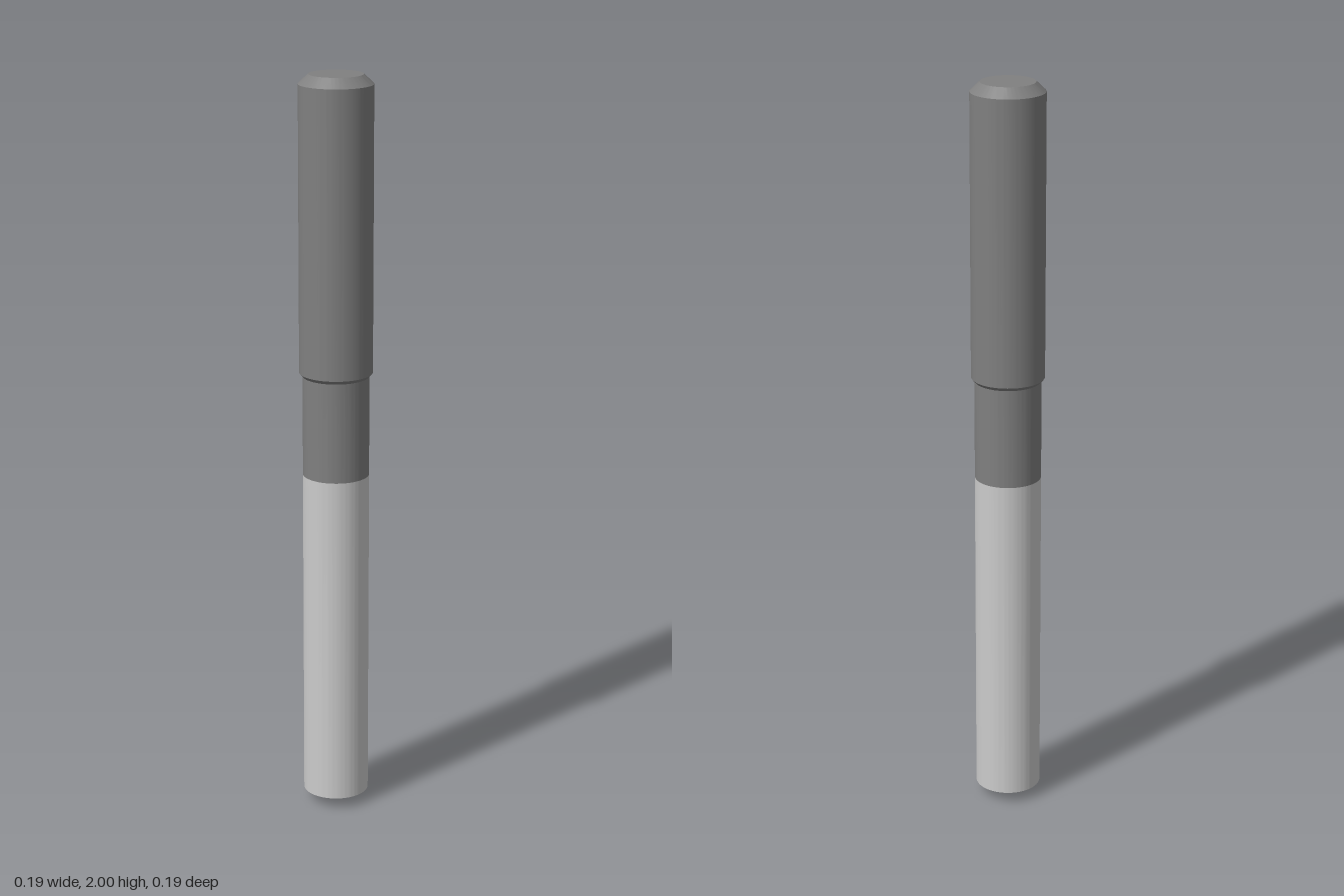
import * as THREE from 'three';
import { toCreasedNormals } from 'three/addons/utils/BufferGeometryUtils.js';

const SEGMENTS = 96;
const R_CUT = 0.088;   // cutting and neck radius
const R_SHANK = 0.097; // shank radius

const darkSteel = new THREE.MeshStandardMaterial({ color: 0x808080 });
const lightSteel = new THREE.MeshStandardMaterial({ color: 0xcccccc });

// Turned part from a [radius, height] profile, listed bottom to top
function turned(name, profile, material) {
  const points = profile.map(([r, y]) => new THREE.Vector2(r, y));
  const geometry = toCreasedNormals(new THREE.LatheGeometry(points, SEGMENTS), 0.3);
  const mesh = new THREE.Mesh(geometry, material);
  mesh.name = name;
  return mesh;
}

export function createModel() {
  const model = new THREE.Group();
  model.name = 'drillBit';
  model.add(
    // Shallow conical point
    turned('drillPoint', [[0, 0], [R_CUT, 0.032]], darkSteel),
    // Bright cutting length
    turned('cuttingBody', [[R_CUT, 0.032], [R_CUT, 0.94]], lightSteel),
    // Plain neck
    turned('neck', [[R_CUT, 0.94], [R_CUT, 1.21]], darkSteel),
    // Thicker shank, chamfered at both ends
    turned('shank', [
      [R_CUT, 1.21], [R_SHANK, 1.22], [R_SHANK, 1.975], [0.071, 2], [0, 2],
    ], darkSteel),
  );
  return model;
}
